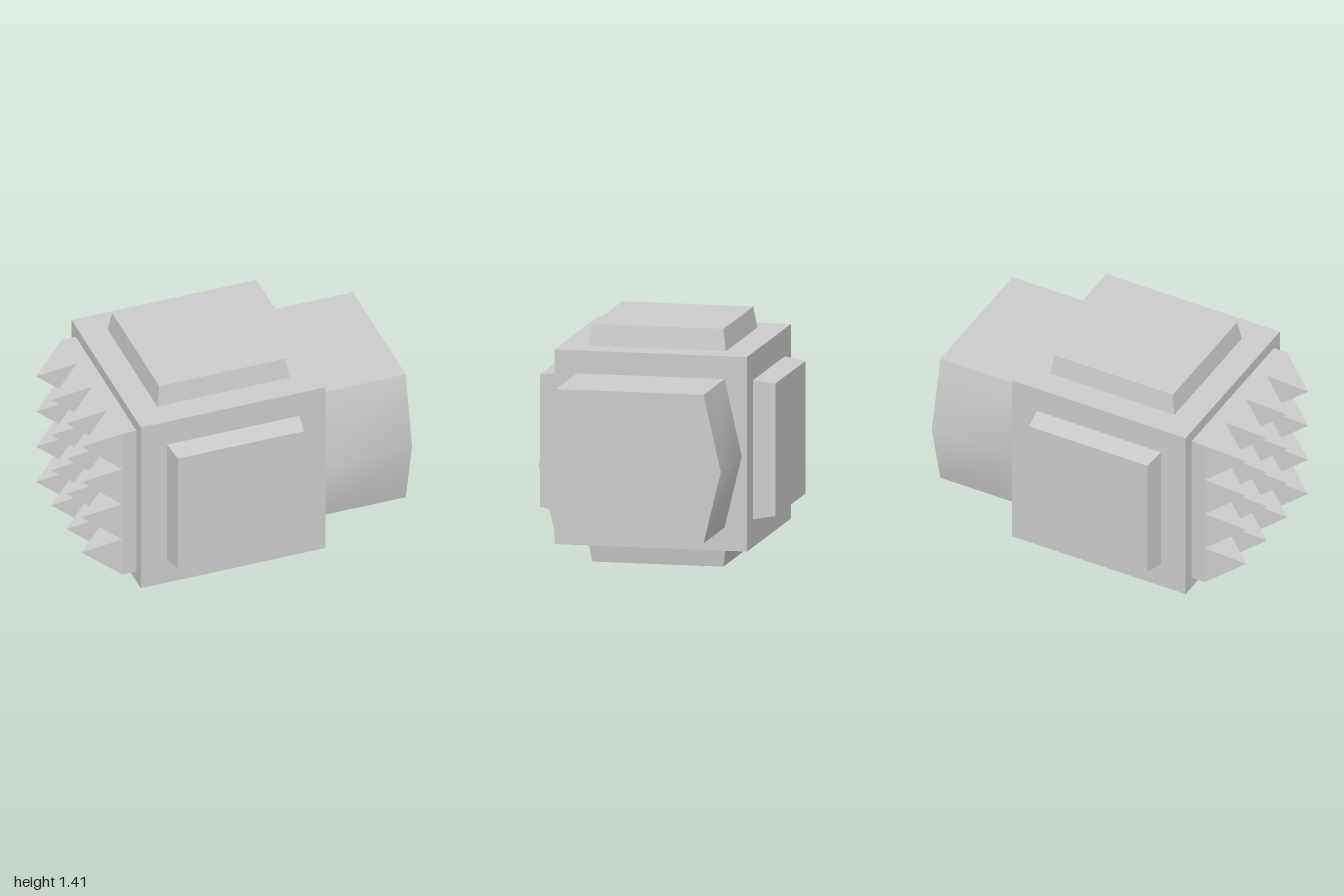
import * as THREE from 'three';
import { toCreasedNormals } from 'three/addons/utils/BufferGeometryUtils.js';

const CX = -0.127, CY = 0.705; // centre of the block

export function createModel() {
  const model = new THREE.Group();
  model.name = 'spikedHammerHead';
  const material = new THREE.MeshStandardMaterial({ color: 0xcccccc, flatShading: true });
  const smooth = new THREE.MeshStandardMaterial({ color: 0xcccccc });

  const add = (name, geometry, parent = model, mat = material) => {
    const mesh = new THREE.Mesh(geometry, mat);
    mesh.name = name;
    parent.add(mesh);
    return mesh;
  };

  // Square frustum standing along y, given half widths
  const frustum = (top, bottom, height) =>
    new THREE.CylinderGeometry(top * Math.SQRT2, bottom * Math.SQRT2, height, 4, 1).rotateY(Math.PI / 4);

  // Main block
  add('block', new THREE.BoxGeometry(1.154, 1.154, 1.154)).position.set(CX, CY, 0);

  // Bevelled panels on top, front, bottom and back
  const panelGeometry = frustum(0.393, 0.413, 0.128).translate(0, 0.641, 0);
  ['topPanel', 'frontPanel', 'bottomPanel', 'backPanel'].forEach((name, i) => {
    const panel = add(name, panelGeometry);
    panel.position.set(CX, CY, 0);
    panel.rotation.x = (i * Math.PI) / 2;
  });

  // Striking plate with a 4 x 4 grid of pyramid spikes
  add('spikePlate', new THREE.BoxGeometry(0.09, 1.01, 1.01)).position.set(-0.747, CY, 0);
  const spikes = new THREE.Group();
  spikes.name = 'spikes';
  model.add(spikes);
  const pitch = 0.2525, length = 0.208;
  const spikeGeometry = frustum(0, pitch / 2, length).rotateZ(Math.PI / 2);
  for (let row = 0; row < 4; row++) {
    for (let col = 0; col < 4; col++) {
      add('spike', spikeGeometry, spikes)
        .position.set(-1 + length / 2, CY + (row - 1.5) * pitch, (col - 1.5) * pitch);
    }
  }

  // Six-sided butt with softly shaded side ridges
  const outline = new THREE.Shape(
    [[0.442, 0.265], [0.546, 0.692], [0.442, 1.146], [-0.442, 1.146], [-0.546, 0.692], [-0.442, 0.265]]
      .map(([x, y]) => new THREE.Vector2(x, y)));
  const butt = new THREE.ExtrudeGeometry(outline, { depth: 0.56, bevelEnabled: false })
    .rotateY(Math.PI / 2).translate(0.44, 0, 0);
  add('butt', toCreasedNormals(butt, 0.7), model, smooth);

  return model;
}
